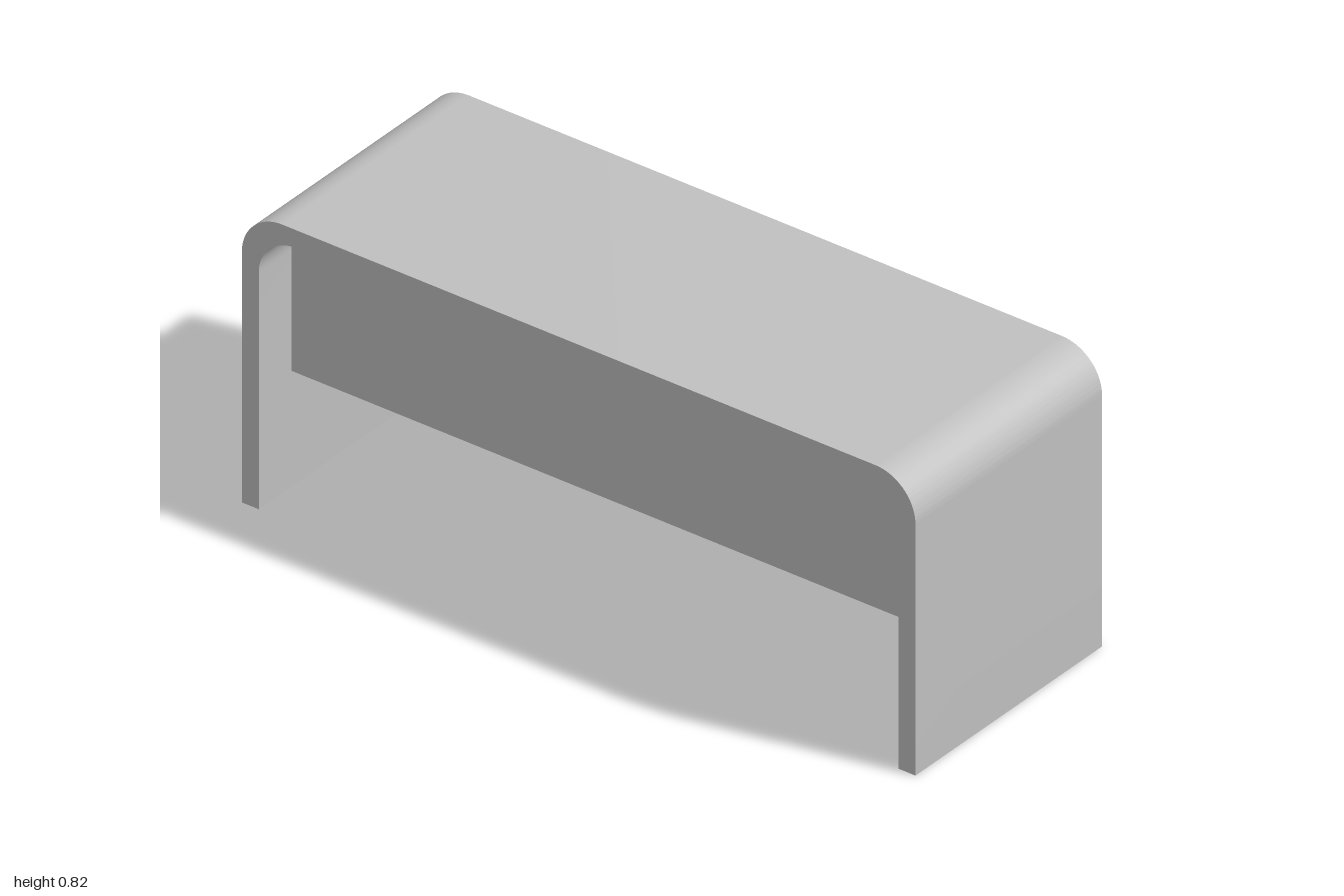
import * as THREE from 'three';
import { toCreasedNormals } from 'three/addons/utils/BufferGeometryUtils.js';

const HALF_WIDTH = 1, HEIGHT = 0.818, DEPTH = 0.724, THICKNESS = 0.05;
const OUTER_RADIUS = 0.12, INNER_RADIUS = 0.11;

// Points up the left side, over the rounded top and down the right side
function archPoints(halfWidth, bottom, top, radius) {
  const path = new THREE.Path();
  path.moveTo(-halfWidth, bottom);
  path.lineTo(-halfWidth, top - radius);
  path.absarc(-halfWidth + radius, top - radius, radius, Math.PI, Math.PI / 2, true);
  path.lineTo(halfWidth - radius, top);
  path.absarc(halfWidth - radius, top - radius, radius, Math.PI / 2, 0, true);
  path.lineTo(halfWidth, bottom);
  return path.getPoints(16);
}

// Extrudes an outline between two depths, keeping the bends smooth and the rims sharp
function slab(name, points, back, front, material) {
  const geometry = new THREE.ExtrudeGeometry(new THREE.Shape(points), {
    depth: front - back,
    bevelEnabled: false,
  });
  geometry.translate(0, 0, back);
  const mesh = new THREE.Mesh(toCreasedNormals(geometry, 0.5), material);
  mesh.name = name;
  return mesh;
}

export function createModel() {
  const desk = new THREE.Group();
  desk.name = 'desk';
  const grey = new THREE.MeshStandardMaterial({ color: 0xc0c0c0 });
  grey.name = 'light grey';

  const innerWidth = HALF_WIDTH - THICKNESS, innerTop = HEIGHT - THICKNESS;

  // Top and both sides as one bent board
  const outer = archPoints(HALF_WIDTH, 0, HEIGHT, OUTER_RADIUS);
  const inner = archPoints(innerWidth, 0, innerTop, INNER_RADIUS).reverse();
  desk.add(slab('bentTopAndSides', [...outer, ...inner], -DEPTH / 2, DEPTH / 2, grey));

  // Thin modesty panel set back from the front edge
  const panel = archPoints(innerWidth, 0.322, innerTop, INNER_RADIUS);
  desk.add(slab('modestyPanel', panel, 0.215, 0.235, grey));

  return desk;
}
